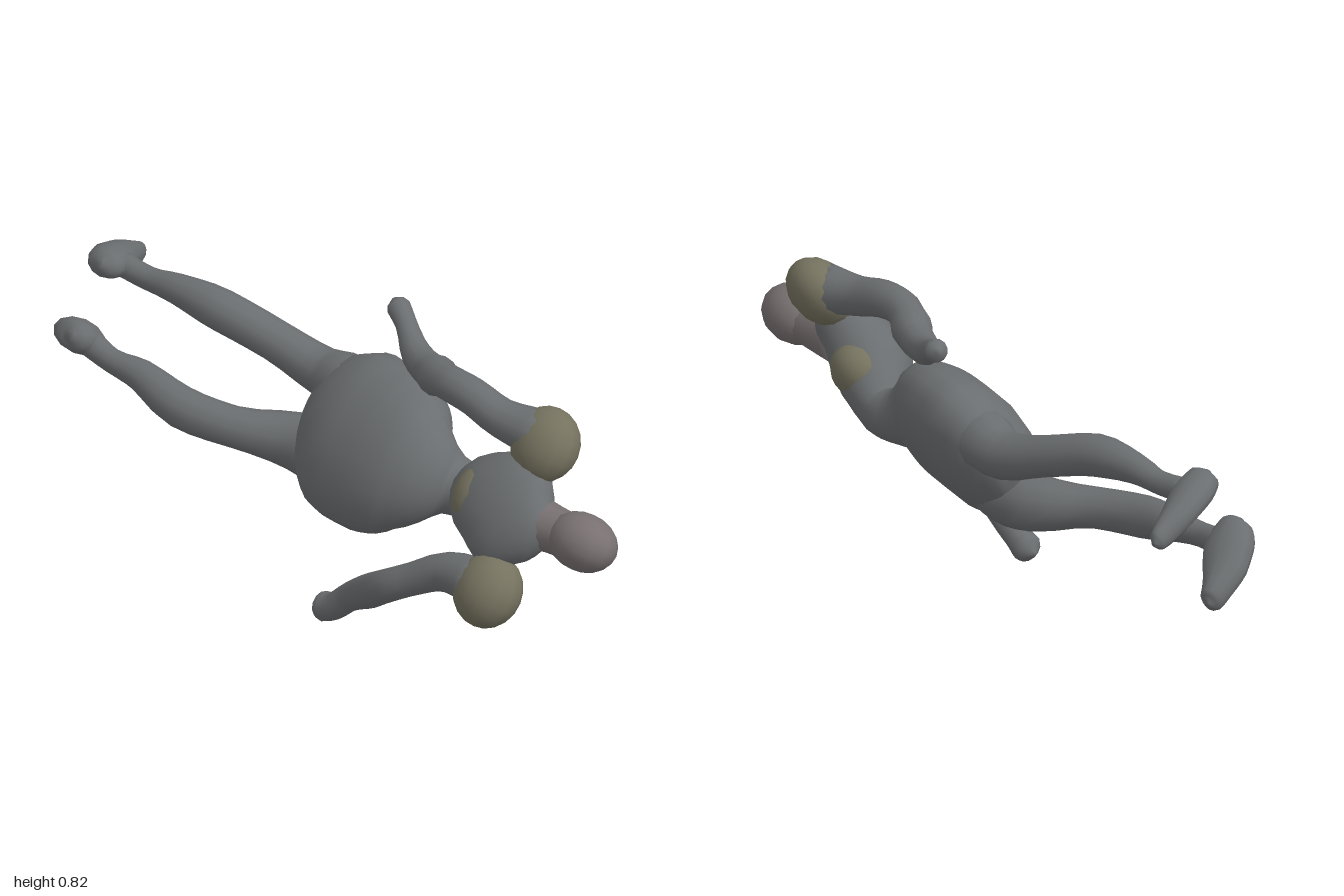
import * as THREE from 'three';

const SLATE = 0x6b6e70, OCHRE = 0x75725f, ROSE = 0x787071;
// The body is rolled about z: "across" runs from its lower shoulder to its upper one
const ACROSS = new THREE.Vector3(0.53, 0.85, 0).normalize();
const ROLL = Math.atan2(-0.53, 0.85);

function makeMesh(name, geometry, color) {
  const mesh = new THREE.Mesh(geometry, new THREE.MeshStandardMaterial({ color }));
  mesh.name = name;
  return mesh;
}

// Organic tube through sections [x, y, z, half width across the body, half depth]
function limb(name, sections, color = SLATE, sides = 12) {
  const path = new THREE.CatmullRomCurve3(sections.map(s => new THREE.Vector3(s[0], s[1], s[2])));
  const size = new THREE.CatmullRomCurve3(sections.map(s => new THREE.Vector3(s[3], s[4] ?? s[3], 0)));
  const rings = (sections.length - 1) * 3;
  const pos = [], index = [];
  for (let i = 0; i <= rings; i++) {
    const p = path.getPoint(i / rings), r = size.getPoint(i / rings);
    const t = path.getTangent(i / rings);
    const a = ACROSS.clone().addScaledVector(t, -ACROSS.dot(t)).normalize();
    const b = new THREE.Vector3().crossVectors(t, a);
    for (let j = 0; j < sides; j++) {
      const ang = j / sides * Math.PI * 2;
      const v = p.clone()
        .addScaledVector(a, Math.cos(ang) * Math.max(r.x, 0.004))
        .addScaledVector(b, Math.sin(ang) * Math.max(r.y, 0.004));
      pos.push(v.x, v.y, v.z);
    }
  }
  for (let i = 0; i < rings; i++) {
    for (let j = 0; j < sides; j++) {
      const k = (j + 1) % sides, m = i * sides, n = m + sides;
      index.push(m + j, m + k, n + j, m + k, n + k, n + j);
    }
  }
  // close both ends
  for (let j = 1; j < sides - 1; j++) {
    const e = rings * sides;
    index.push(0, j + 1, j, e, e + j, e + j + 1);
  }
  const g = new THREE.BufferGeometry();
  g.setAttribute('position', new THREE.Float32BufferAttribute(pos, 3));
  g.setIndex(index);
  g.computeVertexNormals();
  return makeMesh(name, g, color);
}

// Rounded mass: half sizes along body depth, across and length
function mass(name, [x, y, z], [depth, across, length], color) {
  const m = makeMesh(name, new THREE.SphereGeometry(1, 14, 10), color);
  m.position.set(x, y, z);
  m.scale.set(depth, across, length);
  m.rotation.z = ROLL;
  return m;
}

export function createModel() {
  const model = new THREE.Group();
  model.name = 'recliningFigure';

  // Head, neck and trunk with a narrow waist
  model.add(
    mass('head', [0.03, 0.487, 0.892], [0.083, 0.08, 0.11], ROSE),
    limb('neck', [[0.03, 0.485, 0.9, 0.06], [0.025, 0.485, 0.79, 0.066], [0.01, 0.49, 0.68, 0.08]], ROSE),
    limb('torso', [
      [0.01, 0.49, 0.79, 0.04, 0.04], [0, 0.49, 0.74, 0.11, 0.065], [0, 0.495, 0.65, 0.17, 0.09],
      [0.025, 0.48, 0.55, 0.135, 0.11], [0.06, 0.45, 0.48, 0.105, 0.095], [0.09, 0.415, 0.4, 0.075, 0.07],
      [0.08, 0.42, 0.34, 0.085, 0.075], [0.045, 0.44, 0.28, 0.155, 0.11], [0.035, 0.45, 0.21, 0.21, 0.13],
      [0.04, 0.45, 0.12, 0.235, 0.137], [0.05, 0.45, 0.01, 0.24, 0.137], [0.065, 0.45, -0.1, 0.195, 0.11],
      [0.07, 0.45, -0.165, 0.11, 0.06], [0.07, 0.45, -0.185, 0.01, 0.01],
    ], SLATE, 18),
    mass('chest', [0.085, 0.48, 0.515], [0.075, 0.095, 0.09], OCHRE),
    mass('upperBack', [-0.01, 0.5, 0.54], [0.075, 0.095, 0.08], OCHRE),
    mass('leftShoulder', [0.108, 0.67, 0.67], [0.08, 0.105, 0.105], OCHRE),
    mass('rightShoulder', [-0.12, 0.31, 0.68], [0.083, 0.105, 0.102], OCHRE),
  );

  // Arms, shoulder to fingertips
  model.add(
    limb('leftArm', [
      [0.11, 0.69, 0.65, 0.07], [0.08, 0.705, 0.53, 0.055], [0.07, 0.735, 0.43, 0.052], [0.07, 0.74, 0.34, 0.05],
      [0.11, 0.715, 0.23, 0.05], [0.14, 0.72, 0.14, 0.042], [0.18, 0.765, 0.06, 0.03],
      [0.2, 0.79, 0.01, 0.033], [0.208, 0.8, -0.015, 0.008],
    ]),
    limb('rightArm', [
      [-0.12, 0.32, 0.65, 0.07], [-0.13, 0.31, 0.53, 0.055], [-0.16, 0.265, 0.44, 0.047], [-0.185, 0.22, 0.36, 0.046],
      [-0.17, 0.165, 0.28, 0.048], [-0.16, 0.105, 0.19, 0.04], [-0.17, 0.06, 0.14, 0.038],
      [-0.17, 0.042, 0.1, 0.042], [-0.17, 0.035, 0.068, 0.008],
    ]),
  );

  // Legs, hip to ankle
  model.add(
    limb('leftLeg', [
      [0.1, 0.53, 0.06, 0.07], [0.115, 0.54, -0.08, 0.085], [0.12, 0.535, -0.2, 0.068], [0.085, 0.585, -0.35, 0.058],
      [0.035, 0.635, -0.5, 0.059], [0.012, 0.65, -0.65, 0.043], [0.003, 0.645, -0.75, 0.033], [-0.01, 0.66, -0.86, 0.035],
    ]),
    limb('rightLeg', [
      [0.02, 0.38, 0.06, 0.07], [0.03, 0.355, -0.08, 0.092], [0.015, 0.36, -0.2, 0.08], [-0.075, 0.38, -0.35, 0.057],
      [-0.125, 0.4, -0.5, 0.059], [-0.125, 0.435, -0.65, 0.045], [-0.137, 0.445, -0.75, 0.034], [-0.13, 0.465, -0.86, 0.04],
    ]),
  );

  // Feet, heel to toes
  model.add(
    limb('leftFoot', [
      [-0.09, 0.69, -0.845, 0.01], [-0.07, 0.68, -0.85, 0.038, 0.05], [-0.015, 0.66, -0.875, 0.046, 0.062],
      [0.05, 0.633, -0.905, 0.044, 0.05], [0.11, 0.605, -0.925, 0.04, 0.033],
      [0.15, 0.59, -0.94, 0.03, 0.022], [0.165, 0.585, -0.945, 0.008],
    ]),
    limb('rightFoot', [
      [-0.2, 0.51, -0.845, 0.01], [-0.18, 0.5, -0.85, 0.042, 0.052], [-0.13, 0.465, -0.885, 0.048, 0.075],
      [-0.085, 0.425, -0.925, 0.046, 0.066], [-0.045, 0.395, -0.95, 0.044, 0.045],
      [-0.01, 0.37, -0.965, 0.036, 0.03], [0.005, 0.365, -0.972, 0.008],
    ]),
  );
  return model;
}
